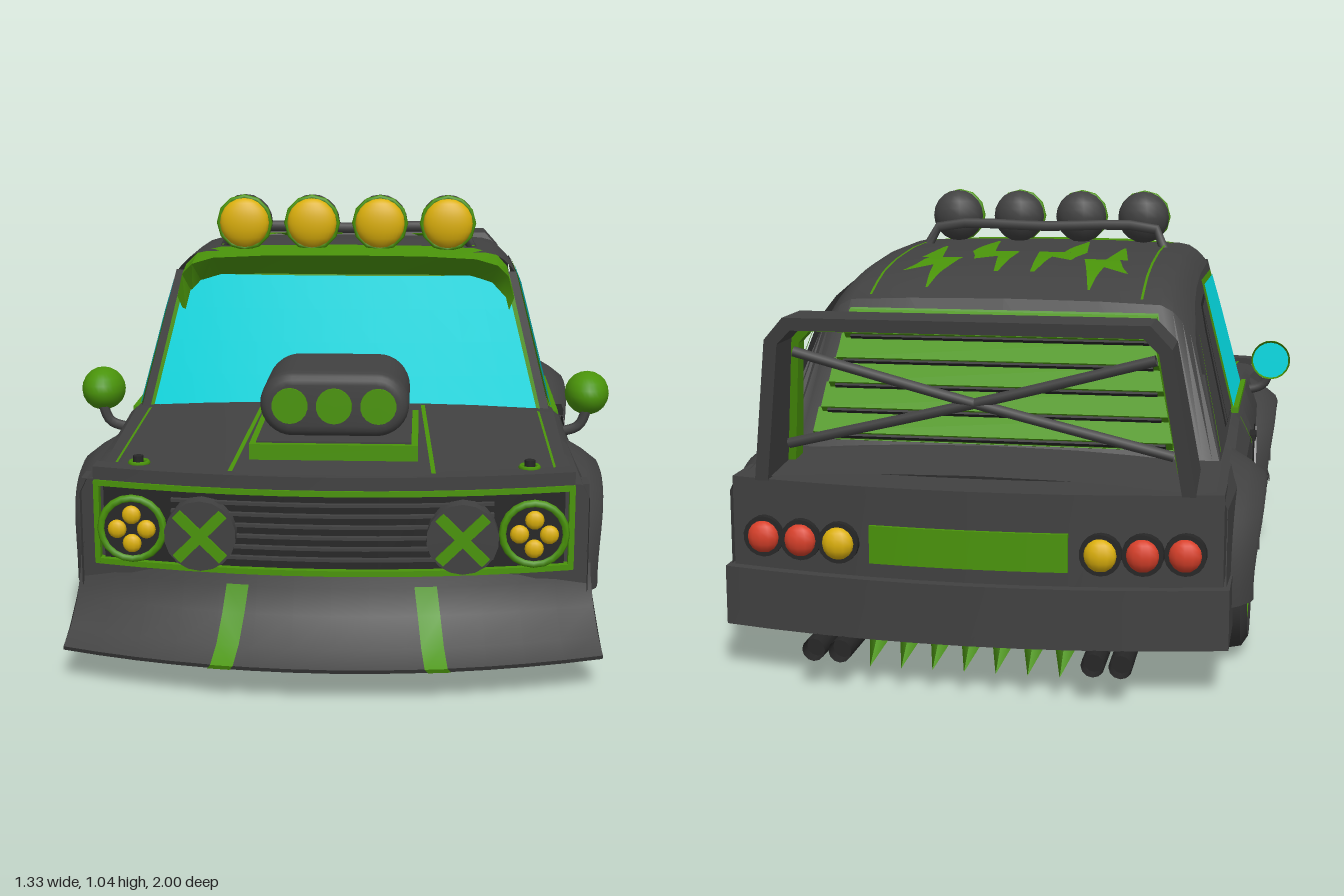
import * as THREE from 'three';
import { toCreasedNormals } from 'three/addons/utils/BufferGeometryUtils.js';

const mat = (name, color) => new THREE.MeshStandardMaterial({ name, color, side: THREE.DoubleSide });
const body = mat('charcoal paint', 0x414141), dark = mat('black trim', 0x272727), rubber = mat('tyre rubber', 0x393939);
const green = mat('green trim', 0x4a940a), glass = mat('cyan glass', 0x02e0e8), yellow = mat('yellow lens', 0xdcb00c);
const red = mat('red lens', 0xd8402a), white = mat('white roundel', 0xe6e6e6), silver = mat('silver metal', 0xb0b0b0);

export function createModel() {
  const car = new THREE.Group();
  car.name = 'hotRod';
  const add = (name, geo, m, x = 0, y = 0, z = 0, parent = car) => {
    const mesh = new THREE.Mesh(geo, m);
    mesh.name = name;
    mesh.position.set(x, y, z);
    parent.add(mesh);
    return mesh;
  };
  const both = fn => [-1, 1].forEach(fn);
  const box = (name, w, h, d, m, x, y, z, parent) => add(name, new THREE.BoxGeometry(w, h, d), m, x, y, z, parent);
  const cyl = (r, h, n = 16) => new THREE.CylinderGeometry(r, r, h, n);
  const disc = (r, d, n = 18) => cyl(r, d, n).rotateX(Math.PI / 2);
  const rod = (name, r, m, ...p) => add(name, new THREE.TubeGeometry(
    new THREE.CatmullRomCurve3(p.map(a => new THREE.Vector3(...a))), 10, r, 7), m);
  // piecewise linear lookup in [key, value] pairs with rising keys
  const pw = (t, k) => {
    let i = 1;
    while (i < t.length - 1 && k > t[i][0]) i++;
    const [a, b] = [t[i - 1], t[i]];
    return THREE.MathUtils.lerp(a[1], b[1], THREE.MathUtils.clamp((k - a[0]) / (b[0] - a[0]), 0, 1));
  };
  const span = (a, b, n) => Array.from({ length: n + 1 }, (_, i) => a + (b - a) * i / n);
  // skin over rows of points
  const loft = (name, rows, m, crease = 0.6) => {
    const w = rows[0].length, idx = [];
    for (let i = 0; i < rows.length - 1; i++) for (let j = 0; j < w - 1; j++) {
      const a = i * w + j;
      idx.push(a, a + 1, a + w, a + 1, a + w + 1, a + w);
    }
    const g = new THREE.BufferGeometry();
    g.setAttribute('position', new THREE.Float32BufferAttribute(rows.flat(2), 3));
    g.setIndex(idx);
    return add(name, toCreasedNormals(g, crease), m);
  };
  const mapped = (g, fn) => {
    const p = g.attributes.position;
    for (let i = 0; i < p.count; i++) p.setXYZ(i, ...fn(p.getX(i), p.getY(i), p.getZ(i)));
    g.computeVertexNormals();
    return g;
  };
  const shape = pts => new THREE.Shape(pts.map(p => new THREE.Vector2(...p)));

  // ---- lower body ----
  const wheelZ = [0.475, -0.545];
  const bowZ = (x, z) => z - 0.25 * x * x * THREE.MathUtils.clamp((z - 0.3) / 0.5, 0, 1);
  const deckEdge = z => pw([[-0.94, 0.445], [-0.69, 0.47], [0.3, 0.505], [0.88, 0.465]], z);
  const deckY = (x, z) => deckEdge(z) + 0.025 * (1 - (x / 0.54) ** 2);
  const sideX = (y, z) => pw([[0.42, 0.575], [0.48, 0.545]], y) * pw([[-0.94, 0.965], [-0.5, 1]], z);
  const bottomY = z => {
    for (const c of wheelZ) if (Math.abs(z - c) < 0.225) return 0.2 + Math.sqrt(0.225 ** 2 - (z - c) ** 2);
    return z > 0.6 || z < -0.7 ? 0.2 : 0.13;
  };
  loft('bodyShell', span(-0.9, 0.88, 89).map(z => {
    const b = bottomY(z), t = deckEdge(z) - 0.012, half = [];
    [b, (b + 0.42) / 2, Math.max(b, 0.42), t].forEach(y => half.push([sideX(y, z), y]));
    [0.53, 0.45, 0.33, 0.2, 0].forEach(x => half.push([x, deckY(x, z)]));
    return [...half, ...half.slice(0, -1).reverse().map(([x, y]) => [-x, y])].map(([x, y]) => [x, y, bowZ(x, z)]);
  }), body, 0.45);
  const frontBox = (name, w, h, d, m, x, y, z) => {
    const g = new THREE.BoxGeometry(w, h, d, 10, 1, 1).translate(x, y, z);
    return add(name, toCreasedNormals(mapped(g, (a, b, c) => [a, b, bowZ(a, c)]), 0.4), m);
  };
  frontBox('nosePanel', 1.15, 0.25, 0.06, body, 0, 0.325, 0.83);
  const rearBox = (name, w, h, d, m, x, y, z) => add(name, toCreasedNormals(mapped(
    new THREE.BoxGeometry(w, h, d, 10).translate(x, y, z), (a, b, c) => [a, b, c + 0.2 * a * a]), 0.4), m);
  rearBox('tailPanel', 1.1, 0.23, 0.12, body, 0, 0.338, -0.9);
  rearBox('rearBumper', 1.13, 0.135, 0.17, body, 0, 0.182, -0.9);

  // ---- underside ----
  box('chassis', 0.72, 0.26, 1.62, dark, 0, 0.27, -0.03);
  box('floor', 1.1, 0.16, 0.52, dark, 0, 0.21, -0.04);
  box('driveTunnel', 0.16, 0.05, 1.3, body, 0, 0.13, -0.05);
  both(s => {
    box('sideSkirt', 0.06, 0.1, 0.58, body, s * 0.555, 0.11, -0.05);
    box('frameRail', 0.06, 0.05, 1.4, body, s * 0.29, 0.13, -0.05);
    add('muffler', cyl(0.06, 0.25, 12).rotateX(Math.PI / 2), body, s * 0.2, 0.14, -0.68);
    [0.28, 0.34].forEach(x => {
      add('exhaustPipe', new THREE.CylinderGeometry(0.026, 0.026, 0.3, 12, 1, true).rotateX(Math.PI / 2), dark, s * x, 0.09, -0.845);
      add('exhaustInside', disc(0.024, 0.01, 12), dark, s * x, 0.09, -0.96);
    });
  });
  wheelZ.forEach(z => add('axle', cyl(0.035, 0.8, 10).rotateZ(Math.PI / 2), body, 0, 0.2, z));
  span(-0.21, 0.21, 6).forEach(x => {
    add('rearFang', new THREE.ConeGeometry(0.042, 0.17, 4), green, x, 0.097, -0.925).rotation.x = -2.0;
  });

  // ---- wheels, flares ----
  const tyre = [[0.125, -0.1], [0.165, -0.11], [0.188, -0.095], [0.195, -0.06], [0.195, -0.045], [0.183, -0.04], [0.183, -0.028],
    [0.195, -0.023], [0.195, 0.023], [0.183, 0.028], [0.183, 0.04], [0.195, 0.045], [0.195, 0.06], [0.188, 0.095], [0.165, 0.11], [0.125, 0.1]];
  both(s => wheelZ.forEach(z => {
    const w = new THREE.Group();
    w.name = 'wheel';
    w.position.set(s * 0.485, 0.197, z);
    w.rotation.y = s * Math.PI / 2;
    car.add(w);
    add('tyre', toCreasedNormals(new THREE.LatheGeometry(tyre.map(p => new THREE.Vector2(...p)), 32).rotateX(Math.PI / 2), 0.5), rubber, 0, 0, 0, w);
    add('rimLip', new THREE.TorusGeometry(0.124, 0.007, 6, 28), green, 0, 0, 0.1, w);
    add('rimBarrel', new THREE.CylinderGeometry(0.125, 0.125, 0.2, 28, 1, true).rotateX(Math.PI / 2), dark, 0, 0, 0, w);
    add('rimBack', disc(0.122, 0.02, 28), dark, 0, 0, 0, w);
    add('hub', disc(0.062, 0.03), dark, 0, 0, 0.075, w);
    add('hubCap', disc(0.016, 0.02, 8), silver, 0, 0, 0.09, w);
    for (let i = 0; i < 5; i++) {
      const a = i * Math.PI * 2 / 5 + Math.PI / 2, c = Math.cos(a), n = Math.sin(a);
      box('spoke', 0.1, 0.034, 0.025, dark, c * 0.075, n * 0.075, 0.07, w).rotation.z = a;
      add('wheelNut', disc(0.013, 0.025, 6), silver, c * 0.045, n * 0.045, 0.09, w);
    }
    loft('fenderFlare', span(-0.1, Math.PI + 0.1, 22).map(a => [[0.275, 0.545], [0.25, 0.588], [0.222, 0.624], [0.208, 0.63], [0.206, 0.56]].map(
      ([r, x]) => [s * (x - 0.02 * Math.max(0, x - 0.56) / 0.07 * Math.cos(a) ** 4), 0.2 + r * Math.sin(a), z + r * Math.cos(a)])), body, 0.7);
    add('archTrim', new THREE.TorusGeometry(0.205, 0.006, 5, 24, Math.PI), green, s * 0.602, 0.2, z).rotation.y = Math.PI / 2;
  }));

  // ---- front end ----
  frontBox('grilleBack', 1.04, 0.17, 0.012, dark, 0, 0.355, 0.862);
  [0.265, 0.448].forEach(y => frontBox('grilleFrame', 1.08, 0.013, 0.03, green, 0, y, 0.868));
  both(s => frontBox('grilleFrameEnd', 0.013, 0.19, 0.03, green, s * 0.535, 0.356, 0.868));
  span(0.295, 0.42, 5).forEach(y => frontBox('grilleSlat', 0.72, 0.007, 0.016, body, 0, y, 0.872));
  frontBox('hoodLip', 1.08, 0.03, 0.05, body, 0, 0.472, 0.862);
  const at = x => bowZ(x, 0.875);
  both(s => {
    add('headlampPod', disc(0.073, 0.03), dark, s * 0.45, 0.35, at(0.45));
    add('headlampRing', new THREE.TorusGeometry(0.07, 0.009, 6, 20), green, s * 0.45, 0.35, at(0.45) + 0.012);
    [[0, 1], [1, 0], [0, -1], [-1, 0]].forEach(([a, b]) =>
      add('headlampBulb', new THREE.SphereGeometry(0.0215, 10, 8).scale(1, 1, 0.6), yellow, s * 0.45 + a * 0.033, 0.35 + b * 0.033, at(0.45) + 0.017));
    add('spotLamp', disc(0.08, 0.05), body, s * 0.29, 0.35, at(0.29) + 0.01);
    both(k => { box('spotLampCross', 0.145, 0.024, 0.009, green, s * 0.29, 0.35, at(0.29) + 0.038).rotation.z = k * Math.PI / 4; });
  });
  // air dam: [height, depth, half width]
  const dam = [[0.26, 0.866, 0.585], [0.23, 0.875, 0.585], [0.17, 0.897, 0.59], [0.115, 0.945, 0.598], [0.085, 0.997, 0.605], [0.075, 0.992, 0.605], [0.13, 0.88, 0.58]];
  loft('airDam', dam.map(([y, z, w]) => span(-w, w, 14).map(x => [x, y, z - 0.31 * x * x])), body, 0.4);
  const cheek = [[0.68, 0.3], [0.785, 0.3], [0.76, 0.25], [0.79, 0.17], [0.835, 0.115], [0.884, 0.085], [0.884, 0.075], [0.81, 0.08], [0.75, 0.18]];
  both(s => {
    loft('damStripe', dam.slice(1, 6).map(([y, z], i) => [0.185, 0.235].map(
      x => [s * (x + 0.008 * i), y + 0.003, z + 0.006 - 0.31 * x * x])), green);
    add('damCheek', mapped(new THREE.ShapeGeometry(shape(cheek)), (z, y) => [s * (0.605 - (y - 0.08) * 0.15), y, z]), body);
  });

  // ---- hood ----
  const deckStrip = (name, x0, x1, z0, z1, w) => loft(name, span(0, 1, 8).map(t => {
    const x = x0 + (x1 - x0) * t, z = z0 + (z1 - z0) * t;
    return [x - w, x + w].map(a => [a, deckY(a, z) + 0.005, bowZ(a, z)]);
  }), green);
  both(s => {
    deckStrip('hoodStripe', s * 0.2, s * 0.225, 0.34, 0.87, 0.005);
    deckStrip('hoodSeam', s * 0.49, s * 0.5, 0.33, 0.86, 0.003);
    add('hoodPin', new THREE.TorusGeometry(0.02, 0.006, 5, 12).rotateX(Math.PI / 2), green, s * 0.44, deckY(0.44, 0.78) + 0.008, 0.78);
    add('hoodPinPost', cyl(0.012, 0.03, 8), dark, s * 0.44, deckY(0.44, 0.78) + 0.012, 0.79);
  });
  box('blowerGasket', 0.38, 0.036, 0.36, green, 0, 0.517, 0.605);
  box('blowerBase', 0.35, 0.04, 0.33, body, 0, 0.519, 0.605);
  const scoop = new THREE.Shape().absarc(0.095, 0, 0.048, -Math.PI / 2, Math.PI / 2).absarc(-0.095, 0, 0.048, Math.PI / 2, Math.PI * 1.5);
  const scoopGeo = new THREE.ExtrudeGeometry(scoop, { depth: 0.27, steps: 12, bevelSize: 0.026, bevelThickness: 0.025, bevelSegments: 4, curveSegments: 8 });
  // the tail of the scoop is rounded off
  add('blowerScoop', toCreasedNormals(mapped(scoopGeo, (x, y, z) => {
    const k = 1 - 0.3 * Math.max(0, 1 - (z + 0.025) / 0.1) ** 2;
    return [x * (k + 1) / 2, y * k, z];
  }), 0.6), body, 0, 0.617, 0.457);
  [-0.1, 0, 0.1].forEach(x => add('scoopPort', disc(0.041, 0.009), green, x, 0.617, 0.754));

  // ---- cabin ----
  const cabX = y => 0.523 - (y - 0.5) * 0.255;
  const roofTop = z => pw([[-0.53, 0.82], [-0.42, 0.862], [-0.29, 0.884], [-0.1, 0.899], [0.2, 0.902]], z);
  const roofY = (x, z) => roofTop(z) - 0.006 * (x / 0.35) ** 2 - 0.05 * (Math.max(0, Math.abs(x) - 0.362) / 0.073) ** 2;
  const across = [-1, -0.97, -0.93, -0.88, -0.82, -0.5, 0, 0.5, 0.82, 0.88, 0.93, 0.97, 1];
  const roofRows = span(0.2, -0.53, 14).map(z => across.map(k => {
    const x = k * cabX(roofTop(z) - 0.06);
    return [x, roofY(x, z), z];
  }));
  roofRows.push(across.map(k => [k * 0.525, 0.48, -0.69]));
  loft('roof', roofRows, body, 0.7);
  const sidePlate = (name, pts, m, off = 0) => both(s =>
    add(name, mapped(new THREE.ShapeGeometry(shape(pts)), (z, y) => [s * (cabX(y) + off), y, z]), m));
  sidePlate('cabinSide', [[0.275, 0.48], [0.2, 0.845], [-0.1, 0.842], [-0.29, 0.827], [-0.42, 0.805], [-0.53, 0.763], [-0.69, 0.48]], body);
  sidePlate('doorWindowFrame', [[0.26, 0.49], [0.203, 0.745], [0.165, 0.827], [-0.155, 0.832], [-0.165, 0.49]], green, 0.004);
  sidePlate('doorWindow', [[0.245, 0.505], [0.19, 0.74], [0.155, 0.815], [-0.143, 0.82], [-0.151, 0.505]], glass, 0.008);
  sidePlate('quarterWindow', [[-0.18, 0.505], [-0.175, 0.8], [-0.31, 0.79], [-0.36, 0.73], [-0.43, 0.505]], dark, 0.003);
  sidePlate('quarterWindowPanel', [[-0.185, 0.512], [-0.18, 0.793], [-0.307, 0.783], [-0.352, 0.725], [-0.42, 0.512]], body, 0.006);
  sidePlate('quarterWindowDivider', [[-0.33, 0.775], [-0.342, 0.76], [-0.405, 0.512], [-0.395, 0.512]], dark, 0.009);
  sidePlate('rearPillarTrim', [[-0.545, 0.735], [-0.535, 0.745], [-0.675, 0.5], [-0.688, 0.5]], green, 0.005);
  // bowed windscreen layers: [bottom width, top width, bottom y, top y, offset]
  const screenZ = (x, y) => 0.27 - (y - 0.5) * 0.2 + 0.045 * (1 - (x / 0.5) ** 2);
  const screen = (name, m, w0, w1, y0, y1, off) => loft(name, span(y0, y1, 4).map((y, i) => span(-1, 1, 12).map(k => {
    const x = k * (w0 + (w1 - w0) * i / 4);
    return [x, y, screenZ(x, y) + off];
  })), m);
  screen('windscreenSurround', body, 0.525, 0.434, 0.49, 0.85, 0);
  screen('windscreenTrim', green, 0.5, 0.416, 0.5, 0.845, 0.004);
  screen('windscreen', glass, 0.488, 0.405, 0.51, 0.842, 0.008);
  // visor: [x, back y, back z, front y, front z]
  const visorHalf = [[0, 0.907, 0.14, 0.899, 0.295], [0.2, 0.905, 0.14, 0.897, 0.293], [0.33, 0.9, 0.145, 0.89, 0.287],
    [0.385, 0.888, 0.16, 0.873, 0.278], [0.412, 0.86, 0.19, 0.845, 0.265], [0.428, 0.8, 0.215, 0.785, 0.245]];
  const visor = [...visorHalf.slice(1).reverse().map(([x, ...r]) => [-x, ...r]), ...visorHalf];
  loft('sunVisor', [visor.map(p => [p[0], p[1], p[2]]), visor.map(p => [p[0], p[3], p[4]]),
    visor.map(p => [p[0] * 0.95, p[3] - 0.055, screenZ(p[0], p[3]) + 0.012])], green, 0.5);
  // rear louvres
  loft('louvrePanel', [[0.37, 0.795, -0.552], [0.43, 0.5, -0.692]].map(([w, y, z]) => [-w, w].map(x => [x, y, z])), green);
  span(0, 1, 4).forEach(t => {
    const y = 0.755 - 0.22 * t, z = -0.575 - 0.1 * t, w = 0.74 + 0.1 * t;
    box('louvreSlat', w, 0.032, 0.07, green, 0, y, z).rotation.x = -0.8;
    box('louvreGap', w - 0.03, 0.01, 0.02, dark, 0, y - 0.018, z - 0.026).rotation.x = -0.8;
  });
  // roof bolts as rows of [z, inner edge, outer edge]
  const bolt = (rows, s) => rows.slice(1).forEach((b, i) => {
    const a = rows[i];
    if (a[0] !== b[0]) loft('roofBolt', span(0, 1, 5).map(t => {
      const [z, l, r] = a.map((v, k) => v + (b[k] - v) * t);
      return [l, (l + r) / 2, r].map(x => [s * x, roofY(x, z) + 0.006, z]);
    }), green);
  });
  both(s => {
    bolt([[-0.49, 0.195, 0.2], [-0.34, 0.17, 0.215], [-0.34, 0.17, 0.262], [-0.26, 0.155, 0.245], [-0.26, 0.21, 0.265], [-0.08, 0.235, 0.24]], s);
    bolt([[-0.39, 0.275, 0.28], [-0.34, 0.215, 0.262]], s);
    bolt([[-0.4, 0.04, 0.05], [-0.24, 0.03, 0.07], [-0.24, 0.03, 0.13], [-0.17, 0.025, 0.15], [-0.17, 0.09, 0.15], [0.06, 0.12, 0.125]], s);
    bolt([[-0.28, 0.12, 0.125], [-0.24, 0.07, 0.13]], s);
    loft('roofSeam', span(0.1, -0.52, 10).map(z => [0.325, 0.331].map(x => [s * x, roofY(x, z) + 0.005, z])), green);
  });

  // ---- roof lamps ----
  rod('lampBar', 0.014, body, [-0.33, 0.88, 0.06], [-0.31, 0.935, 0.09], [0, 0.945, 0.09], [0.31, 0.935, 0.09], [0.33, 0.88, 0.06]);
  [-0.26, -0.087, 0.087, 0.26].forEach(x => {
    add('lampShell', new THREE.SphereGeometry(0.07, 14, 10).scale(1, 1, 0.82), body, x, 0.968, 0.155);
    add('lampRing', new THREE.TorusGeometry(0.065, 0.007, 6, 12), green, x, 0.968, 0.182);
    add('lampLens', new THREE.SphereGeometry(0.063, 14, 10, 0, Math.PI).scale(1, 1, 0.46), yellow, x, 0.968, 0.188);
  });

  // ---- doors and mirrors ----
  both(s => {
    loft('doorSeam', [0.15, 0.42, 0.48].map(y => [-0.16, -0.15].map(z => [s * (sideX(y, z) + 0.004), y, z])), green);
    box('beltTrim', 0.02, 0.014, 0.44, green, s * 0.533, 0.497, 0.06);
    box('doorHandle', 0.02, 0.016, 0.07, dark, s * 0.578, 0.42, -0.1);
    const turn = s * Math.PI / 2;
    add('roundelBorder', new THREE.CircleGeometry(0.108, 28), dark, s * 0.579, 0.32, 0.02).rotation.y = turn;
    add('roundel', new THREE.CircleGeometry(0.102, 28), white, s * 0.583, 0.32, 0.02).rotation.y = turn;
    rod('mirrorStalk', 0.013, body, [s * 0.53, 0.46, 0.34], [s * 0.59, 0.48, 0.34], [s * 0.612, 0.53, 0.34]);
    add('mirrorShell', new THREE.SphereGeometry(0.055, 14, 10, 0, Math.PI).scale(1, 1, 1.4), green, s * 0.612, 0.557, 0.3);
    add('mirrorGlass', disc(0.05, 0.004), glass, s * 0.612, 0.557, 0.3);
  });

  // ---- tail ----
  rearBox('tailGarnish', 0.44, 0.085, 0.009, green, 0, 0.325, -0.964);
  both(s => [[0.29, yellow], [0.38, red], [0.47, red]].forEach(([x, m]) => {
    const z = -0.963 + 0.2 * x * x;
    add('tailLampBezel', disc(0.046, 0.03), dark, s * x, 0.325, z);
    add('tailLamp', new THREE.SphereGeometry(0.037, 12, 8).scale(1, 1, 0.7), m, s * x, 0.325, z - 0.012);
  }));

  // ---- rear wing: an open arch raked backwards, k0 and k1 bound its depth from back to front ----
  const flip = ([x, y]) => [-x, y];
  const wing = (name, out, inn, k0, k1, m) => {
    const pts = [...out, ...[...out].reverse().map(flip), ...inn.map(flip), ...[...inn].reverse()];
    const g = new THREE.ExtrudeGeometry(shape(pts), { depth: 1, bevelEnabled: false });
    add(name, mapped(g, (x, y, k) => {
      const t = (y - 0.45) / 0.37;
      return [x, y, THREE.MathUtils.lerp(-0.92 - 0.065 * t, -0.73 - 0.13 * t, k0 + (k1 - k0) * k)];
    }), m);
  };
  const outer = [[0.49, 0.45], [0.44, 0.775], [0.395, 0.825]], middle = [[0.46, 0.45], [0.412, 0.765], [0.38, 0.797]];
  const inner = [[0.442, 0.45], [0.397, 0.754], [0.37, 0.781]];
  wing('rearWing', outer, middle, 0, 1, body);
  wing('rearWingTrim', middle, inner, 0.75, 1.03, green);
  both(s => rod('wingBrace', 0.012, body, [s * 0.4, 0.74, -0.9], [0, 0.63, -0.87], [-s * 0.435, 0.52, -0.84]));
  return car;
}
